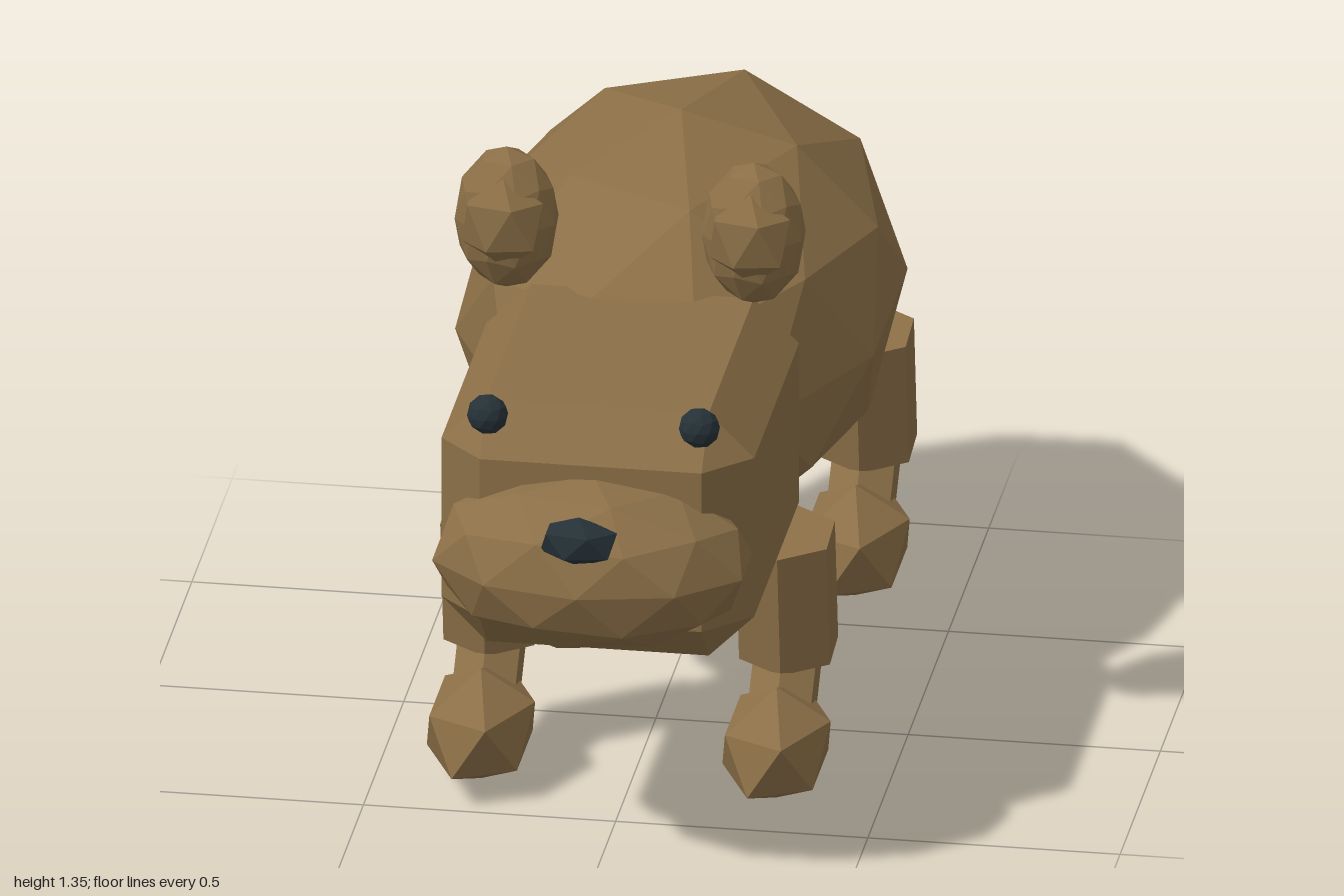
import * as THREE from 'three';
import { ConvexGeometry } from 'three/addons/geometries/ConvexGeometry.js';

export function createModel() {
  const model = new THREE.Group();
  model.name = 'bear';
  const fur = new THREE.MeshStandardMaterial({ name: 'brown fur', color: 0x8b6f47, flatShading: true });
  const dark = new THREE.MeshStandardMaterial({ name: 'dark slate', color: 0x263238, flatShading: true });

  const add = (parent, name, geometry, material, x, y, z, tilt = 0) => {
    const mesh = new THREE.Mesh(geometry, material);
    mesh.name = name;
    mesh.position.set(x, y, z);
    mesh.rotation.x = tilt;
    parent.add(mesh);
    return mesh;
  };

  // faceted ellipsoid with a corner at the top and one upper corner towards +x
  const ball = (rx, ry, rz, detail) => {
    const g = new THREE.IcosahedronGeometry(1, detail);
    g.rotateX(-Math.atan2(1 + Math.sqrt(5), 2));
    g.rotateY(Math.PI / 2);
    g.scale(rx, ry, rz);
    return g;
  };

  // box with all edges cut off by c
  const chamferBox = (w, h, d, c) => {
    const points = [];
    for (const sx of [-1, 1]) for (const sy of [-1, 1]) for (const sz of [-1, 1]) {
      const [x, y, z] = [w / 2, h / 2, d / 2];
      points.push(
        new THREE.Vector3(sx * x, sy * (y - c), sz * (z - c)),
        new THREE.Vector3(sx * (x - c), sy * y, sz * (z - c)),
        new THREE.Vector3(sx * (x - c), sy * (y - c), sz * z));
    }
    return new ConvexGeometry(points);
  };

  // body and head
  add(model, 'body', ball(0.436, 0.405, 0.685, 1), fur, 0, 0.765, -0.315);
  add(model, 'head', chamferBox(0.62, 0.52, 0.735, 0.09), fur, 0, 0.733, 0.4425);
  add(model, 'muzzle', ball(0.323, 0.18, 0.21, 1), fur, 0, 0.7, 0.79);
  add(model, 'nose', ball(0.085, 0.052, 0.05, 0), dark, 0, 0.807, 0.958);

  for (const side of [-1, 1]) {
    const label = side > 0 ? 'left' : 'right';

    add(model, label + 'Eye', ball(0.041, 0.041, 0.035, 1), dark, side * 0.21, 0.985, 0.775);

    // ear with a smaller lump in front
    const ear = new THREE.Group();
    ear.name = label + 'Ear';
    ear.position.set(side * 0.245, 1.205, 0.32);
    add(ear, 'outerEar', ball(0.104, 0.15, 0.085, 1), fur, 0, 0, 0);
    add(ear, 'innerEar', ball(0.09, 0.1, 0.06, 0), fur, 0, 0.01, 0.05);
    model.add(ear);

    // front and hind legs share one shape
    for (const [end, z] of [['Front', 0], ['Hind', -0.98]]) {
      const leg = new THREE.Group();
      leg.name = label + end + 'Leg';
      leg.position.set(side * 0.293, 0, z);
      add(leg, 'upperLeg', new THREE.CylinderGeometry(0.104, 0.104, 0.268, 6), fur, 0, 0.3925, 0.208, 0.15);
      add(leg, 'lowerLeg', new THREE.CylinderGeometry(0.072, 0.072, 0.16, 6), fur, 0, 0.2, 0.24, -0.736);
      add(leg, 'foot', ball(0.12, 0.118, 0.186, 0), fur, 0, 0.122, 0.337);
      model.add(leg);
    }
  }
  return model;
}
